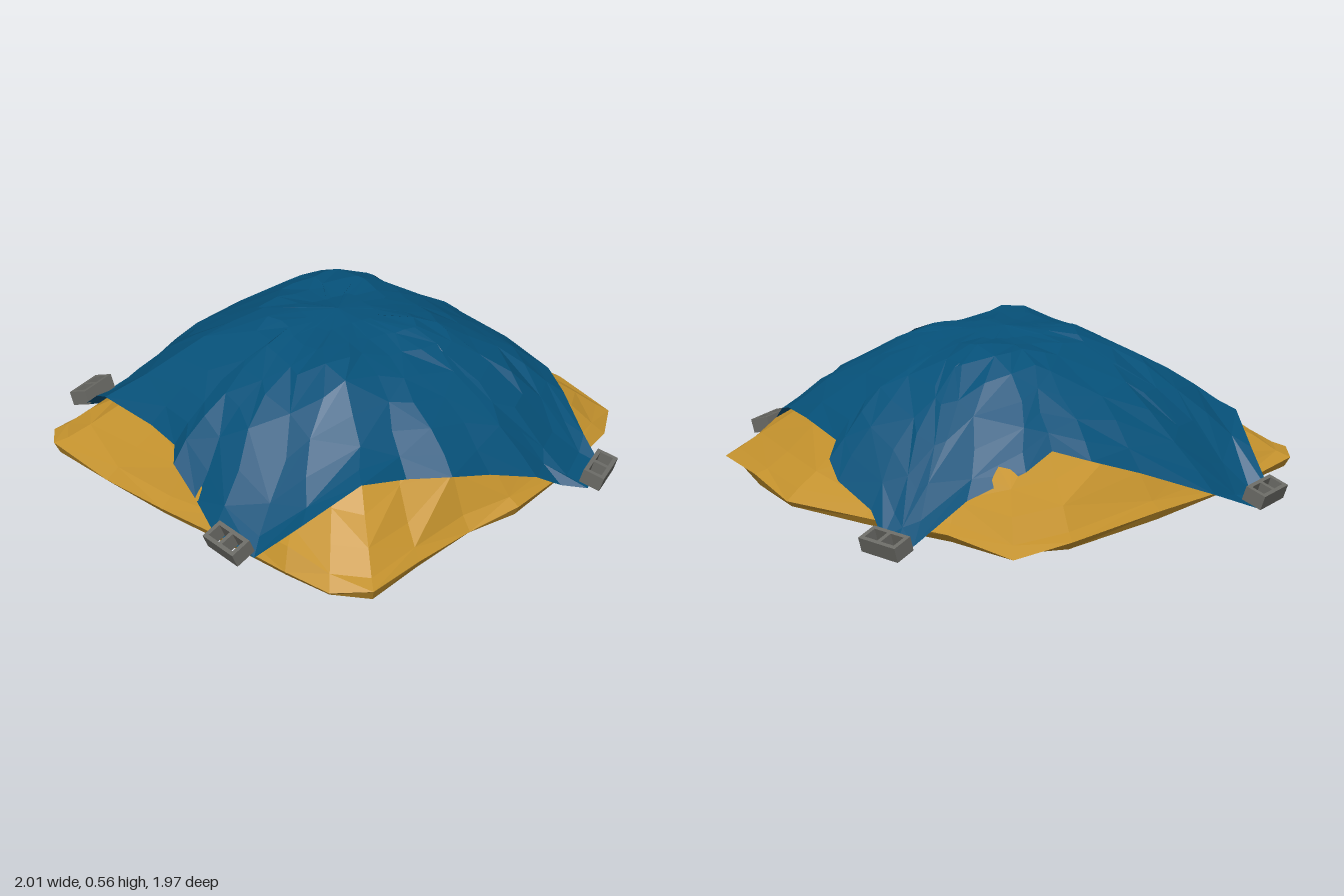
import * as THREE from 'three';

const tarpBlue = new THREE.MeshStandardMaterial({ color: 0x065179, side: THREE.DoubleSide });
tarpBlue.name = 'tarpBlue';
const sandYellow = new THREE.MeshStandardMaterial({ color: 0xc4922d });
sandYellow.name = 'sandYellow';
const blockGrey = new THREE.MeshStandardMaterial({ color: 0x6b6b66 });
blockGrey.name = 'blockGrey';

// Piecewise linear curve through [input, output] pairs
function curve(pairs, v) {
  for (let i = 1; i < pairs.length; i++) {
    const [a, ya] = pairs[i - 1], [b, yb] = pairs[i];
    if (v <= b) return ya + (yb - ya) * (v - a) / (b - a);
  }
  return pairs[pairs.length - 1][1];
}

// Height of the draped cloth by distance from the middle
const DRAPE = [[0, 0.56], [0.28, 0.54], [0.4, 0.49], [0.55, 0.405], [0.65, 0.335], [0.72, 0.265], [0.85, 0.12], [0.95, 0.04], [1.1, 0.02]];
// Height of the sand by fraction of the way to its outline
const SLOPE = [[0, 0.52], [0.4, 0.44], [0.6, 0.33], [0.75, 0.24], [0.85, 0.17], [0.95, 0.1], [1, 0.07]];

// Tarp outline: x, z and edge height, clockwise from the back corner
const TARP = [
  [-0.36, -0.9, 0.02], [-0.28, -0.88, 0.04], [-0.17, -0.83, 0.1], [0.03, -0.8, 0.15], [0.12, -0.76, 0.2],
  [0.15, -0.7, 0.25], [0.38, -0.64, 0.27], [0.55, -0.58, 0.26], [0.66, -0.52, 0.22], [0.8, -0.45, 0.12],
  [0.9, -0.41, 0.05], [0.95, -0.25, 0.04], [0.88, -0.18, 0.06], [0.84, -0.08, 0.125], [0.76, 0.1, 0.19],
  [0.72, 0.27, 0.245], [0.62, 0.4, 0.26], [0.58, 0.6, 0.315], [0.47, 0.78, 0.2], [0.36, 0.9, 0.09],
  [0.15, 0.87, 0.095], [0, 0.79, 0.125], [-0.14, 0.75, 0.2], [-0.2, 0.68, 0.225], [-0.35, 0.64, 0.235],
  [-0.62, 0.6, 0.24], [-0.77, 0.5, 0.15], [-0.93, 0.42, 0.02], [-0.95, 0.3, 0.01], [-0.88, 0.15, 0.08],
  [-0.75, -0.1, 0.19], [-0.68, -0.28, 0.26], [-0.59, -0.38, 0.3], [-0.6, -0.52, 0.26], [-0.5, -0.7, 0.18], [-0.41, -0.86, 0.04],
];

// Sand outline: x, z and, where the rim overhangs, the scale of the foot below it
const SAND = [
  [-0.79, -0.78, 0.88], [-0.5, -0.79, 0.94], [-0.15, -0.84], [0.19, -0.9], [0.45, -0.83], [0.73, -0.74, 0.95], [0.8, -0.6], [0.85, -0.25],
  [0.86, 0.06], [0.8, 0.27], [0.79, 0.55], [0.79, 0.8], [0.66, 0.87], [0.47, 0.87], [0.15, 0.85], [-0.12, 0.84],
  [-0.42, 0.81], [-0.73, 0.77], [-0.81, 0.69], [-0.83, 0.3], [-0.84, -0.1], [-0.84, -0.55, 0.95],
];

// Faceted mound: rings shrinking from an outline to the middle
function mound(outline, rings, place, floorY) {
  const pos = [], n = outline.length;
  const grid = rings.map((s, k) => outline.map((p, i) => place(p, s, i, k)));
  const top = place([0, 0, 0], 0, 0, 0);
  // Base set slightly inside the outline
  const foot = outline.map(([x, z, scale = 0.98]) => [x * scale, floorY, z * scale]);
  for (let i = 0; i < n; i++) {
    const j = (i + 1) % n;
    for (let k = 1; k < rings.length; k++) {
      const a = grid[k - 1][i], b = grid[k - 1][j], c = grid[k][i], d = grid[k][j];
      if ((i + k) % 2) pos.push(...a, ...c, ...b, ...b, ...c, ...d);
      else pos.push(...a, ...c, ...d, ...a, ...d, ...b);
    }
    const last = grid[rings.length - 1];
    pos.push(...top, ...last[j], ...last[i]);
    // Undercut rim and flat underside
    if (floorY !== undefined) {
      const a = grid[0][i], b = grid[0][j], c = foot[i], d = foot[j];
      pos.push(...a, ...b, ...d, ...a, ...d, ...c, 0, floorY, 0, ...c, ...d);
    }
  }
  const geo = new THREE.BufferGeometry();
  geo.setAttribute('position', new THREE.Float32BufferAttribute(pos, 3));
  geo.computeVertexNormals();
  return geo;
}

// Cloth height at distance r on a ray whose tarp edge lies at distance R
const clothHeight = (r, R, edge) => curve(DRAPE, r) + (edge - curve(DRAPE, R)) * (r / R) ** 4;

// Distance and height of the tarp edge in the direction of (x, z)
function tarpEdge(x, z) {
  for (let i = 0; i < TARP.length; i++) {
    const [ax, az, ah] = TARP[i], [bx, bz, bh] = TARP[(i + 1) % TARP.length];
    const u = x * az - z * ax, v = x * bz - z * bx;
    if (u <= 0 && v >= 0 && x * ax + z * az > 0) {
      const t = u / (u - v);
      return [Math.hypot(ax + (bx - ax) * t, az + (bz - az) * t), ah + (bh - ah) * t];
    }
  }
  return [0.9, 0.1];
}

// Soft lumps in the cloth: x, z, height, width
const LUMPS = [[-0.22, -0.26, 0.035, 0.16], [0.28, 0.34, 0.05, 0.16], [-0.32, -0.42, 0.03, 0.14]];

// Wrinkled cloth that meets its outline at the given edge heights
function placeTarp([x, z, edge], s, i, k) {
  const twist = 0.1 * s * (1 - s) * Math.sin(i * 2.3 + k * 1.7);
  const px = x * s - z * twist, pz = z * s + x * twist;
  let extra = 0.007 * Math.sin(8 * px + 12 * pz + 1) + 0.005 * Math.sin(19 * px - 11 * pz);
  for (const [cx, cz, h, w] of LUMPS) extra += h * Math.exp(-((px - cx) ** 2 + (pz - cz) ** 2) / (w * w));
  const y = clothHeight(Math.hypot(px, pz), Math.hypot(x, z) || 1, edge);
  return [px, y + extra * (1 - s ** 6), pz];
}

// Rough sand kept just beneath the cloth, steeper where its outline is near
function placeSand([x, z], s, i, k) {
  const r = Math.hypot(x, z) * s, [R, edge] = tarpEdge(x, z);
  const under = clothHeight(Math.min(r, R), R, edge) - 0.03;
  const rough = s < 0.9 && s > 0 ? 0.01 * Math.sin(i * 2.7 + k * 4.1) : 0;
  const rim = s === 1 ? 0.015 * Math.sin(i * 1.9) : 0;
  const slope = curve(SLOPE, s) + rough + rim;
  const covered = Math.max(0.045, Math.min(under, 0.07 + (1 - s) * 1.3));
  return [x * s, r < R + 0.03 ? covered : slope, z * s];
}

// Hollow building block with two square cells
function blockGeometry() {
  const rect = (path, cx, w, h) => path
    .moveTo(cx - w / 2, -h / 2).lineTo(cx + w / 2, -h / 2)
    .lineTo(cx + w / 2, h / 2).lineTo(cx - w / 2, h / 2).lineTo(cx - w / 2, -h / 2);
  const shape = new THREE.Shape();
  rect(shape, 0, 0.165, 0.08);
  for (const side of [-1, 1]) {
    const hole = new THREE.Path();
    rect(hole, side * 0.037, 0.058, 0.05);
    shape.holes.push(hole);
  }
  const geo = new THREE.ExtrudeGeometry(shape, { depth: 0.055, bevelEnabled: false });
  return geo.translate(0, 0, -0.0275).rotateX(-Math.PI / 2);
}

export function createModel() {
  const model = new THREE.Group();
  model.name = 'coveredSandPile';
  const add = (name, geo, mat) => {
    const mesh = new THREE.Mesh(geo, mat);
    mesh.name = name;
    model.add(mesh);
    return mesh;
  };

  add('sandPile', mound(SAND, [1, 0.95, 0.87, 0.77, 0.6, 0.4], placeSand, 0.04), sandYellow);
  add('tarp', mound(TARP, [1, 0.92, 0.82, 0.7, 0.57, 0.43, 0.3, 0.16], placeTarp), tarpBlue);

  // Weights on the tarp corners: centre, outward direction (x, z), downward tilt
  const block = blockGeometry();
  const weights = [
    ['frontBlock', [0.265, 0.12, 0.92], [-0.2, 1], 0.4],
    ['leftBlock', [0.94, 0.075, -0.335], [1, -0.25], 0.28],
    ['backBlock', [-0.355, 0.055, -0.935], [-0.06, -1], 0.28],
    ['rightBlock', [-0.945, 0.055, 0.355], [-1, 0.13], 0.32],
  ];
  for (const [name, at, [ox, oz], tilt] of weights) {
    const mesh = add(name, block, blockGrey);
    mesh.position.set(...at);
    mesh.rotation.set(tilt, Math.atan2(ox, oz), 0, 'YXZ');
  }
  return model;
}
